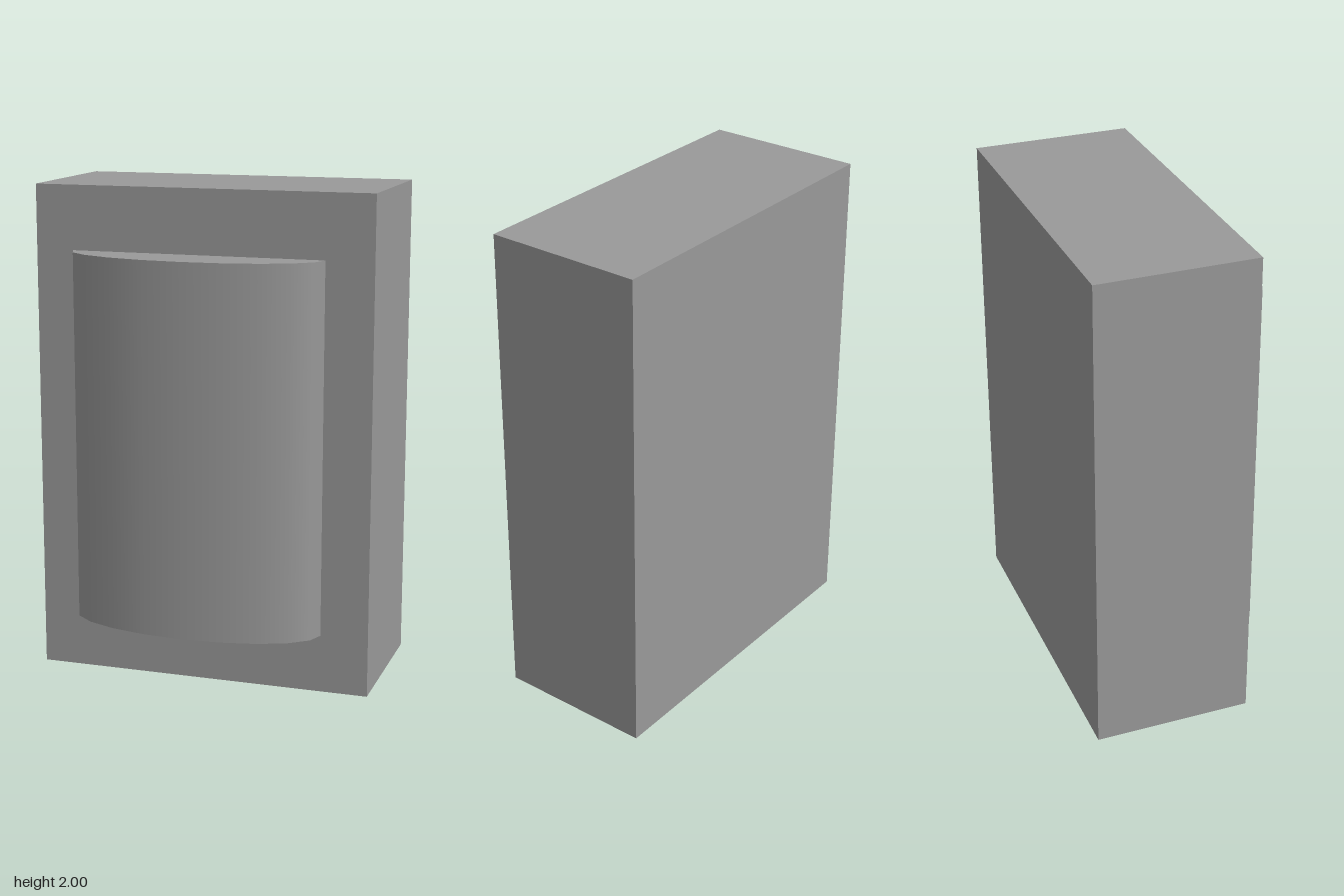
import * as THREE from 'three';

export function createModel() {
  const model = new THREE.Group();
  const darkGrey = new THREE.MeshStandardMaterial({ color: 0x999999 });

  // Upright rectangular body
  const body = new THREE.Mesh(new THREE.BoxGeometry(1.385, 2, 0.642), darkGrey);
  body.name = 'body';
  body.position.set(0, 1, -0.105);
  model.add(body);

  // Half-elliptical bulge on the front face, slightly off centre
  const panel = new THREE.Mesh(
    new THREE.CylinderGeometry(1, 1, 1.505, 10, 1, false, -Math.PI / 2, Math.PI),
    darkGrey
  );
  panel.name = 'curvedFrontPanel';
  panel.scale.set(0.518, 1, 0.21);
  panel.position.set(-0.02, 0.988, 0.216);
  model.add(panel);

  return model;
}
